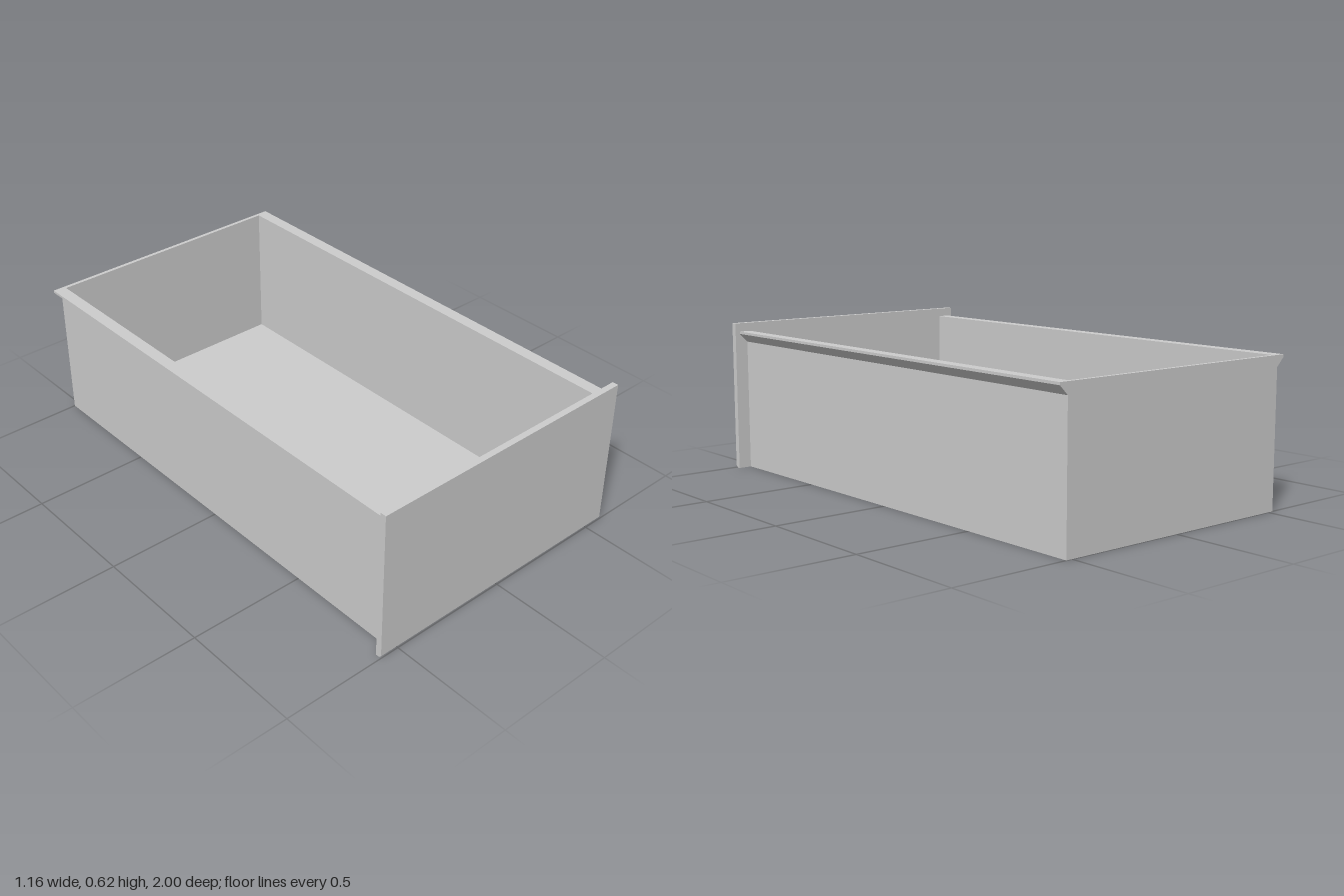
import * as THREE from 'three';

// Main dimensions
const INNER = 0.51, BODY = 0.525, RIM = 0.56, PANEL = 0.58;
const BACK = -1, FRONT = 1, PANEL_BACK = 0.975;
const TOP = 0.585, PANEL_TOP = 0.62, WALL = 0.015;
const GRIP = 0.377; // half width of the finger recess

export function createModel() {
  const group = new THREE.Group();
  const grey = new THREE.MeshStandardMaterial({ color: 0xcccccc });
  grey.name = 'grey';

  const add = (name, geometry) => {
    const mesh = new THREE.Mesh(geometry, grey);
    mesh.name = name;
    group.add(mesh);
  };
  const extrude = (points, depth) => new THREE.ExtrudeGeometry(
    new THREE.Shape(points.map(([u, v]) => new THREE.Vector2(u, v))),
    { depth, bevelEnabled: false });
  // Profile in (z, y), swept along x from x0 to x1
  const sweepX = (points, x0, x1) =>
    extrude(points, x1 - x0).rotateY(-Math.PI / 2).translate(x1, 0, 0);
  const box = (x0, x1, y0, y1, z0, z1) =>
    new THREE.BoxGeometry(x1 - x0, y1 - y0, z1 - z0)
      .translate((x0 + x1) / 2, (y0 + y1) / 2, (z0 + z1) / 2);

  // Side walls with a chamfered rim that overhangs outward
  for (const [side, s] of [['left', 1], ['right', -1]]) {
    const profile = [[INNER, 0], [BODY, 0], [BODY, 0.54], [RIM, 0.575], [RIM, TOP], [INNER, TOP]];
    add(side + 'Wall', extrude(profile.map(([x, y]) => [s * x, y]), PANEL_BACK - BACK)
      .translate(0, 0, BACK));
  }

  // Back wall and floor
  add('backWall', box(-INNER, INNER, 0, TOP, BACK, BACK + WALL));
  add('floor', box(-INNER, INNER, 0, WALL, BACK + WALL, 0.825));

  // Solid ends of the front panel, with a small bevel under the front edge
  const panel = [[FRONT, 0.01], [FRONT, PANEL_TOP], [PANEL_BACK, PANEL_TOP], [PANEL_BACK, 0], [0.99, 0]];
  add('frontPanelLeft', sweepX(panel, GRIP, PANEL));
  add('frontPanelRight', sweepX(panel, -PANEL, -GRIP));

  // Solid ends of the inner ledge
  const ledge = [[0.825, 0], [PANEL_BACK, 0], [PANEL_BACK, 0.265], [0.87, 0.265], [0.825, 0.215]];
  add('ledgeLeft', sweepX(ledge, GRIP, INNER));
  add('ledgeRight', sweepX(ledge, -INNER, -GRIP));

  // Middle of panel and ledge, hollowed from below as a finger recess
  add('frontPanelWithGrip', sweepX([
    [FRONT, 0.01], [FRONT, PANEL_TOP], [PANEL_BACK, PANEL_TOP], [PANEL_BACK, 0.265],
    [0.87, 0.265], [0.825, 0.215], [0.825, 0], [0.842, 0], [0.842, 0.208],
    [0.878, 0.25], [0.988, 0.25], [0.988, 0], [0.99, 0],
  ], -GRIP, GRIP));

  return group;
}
